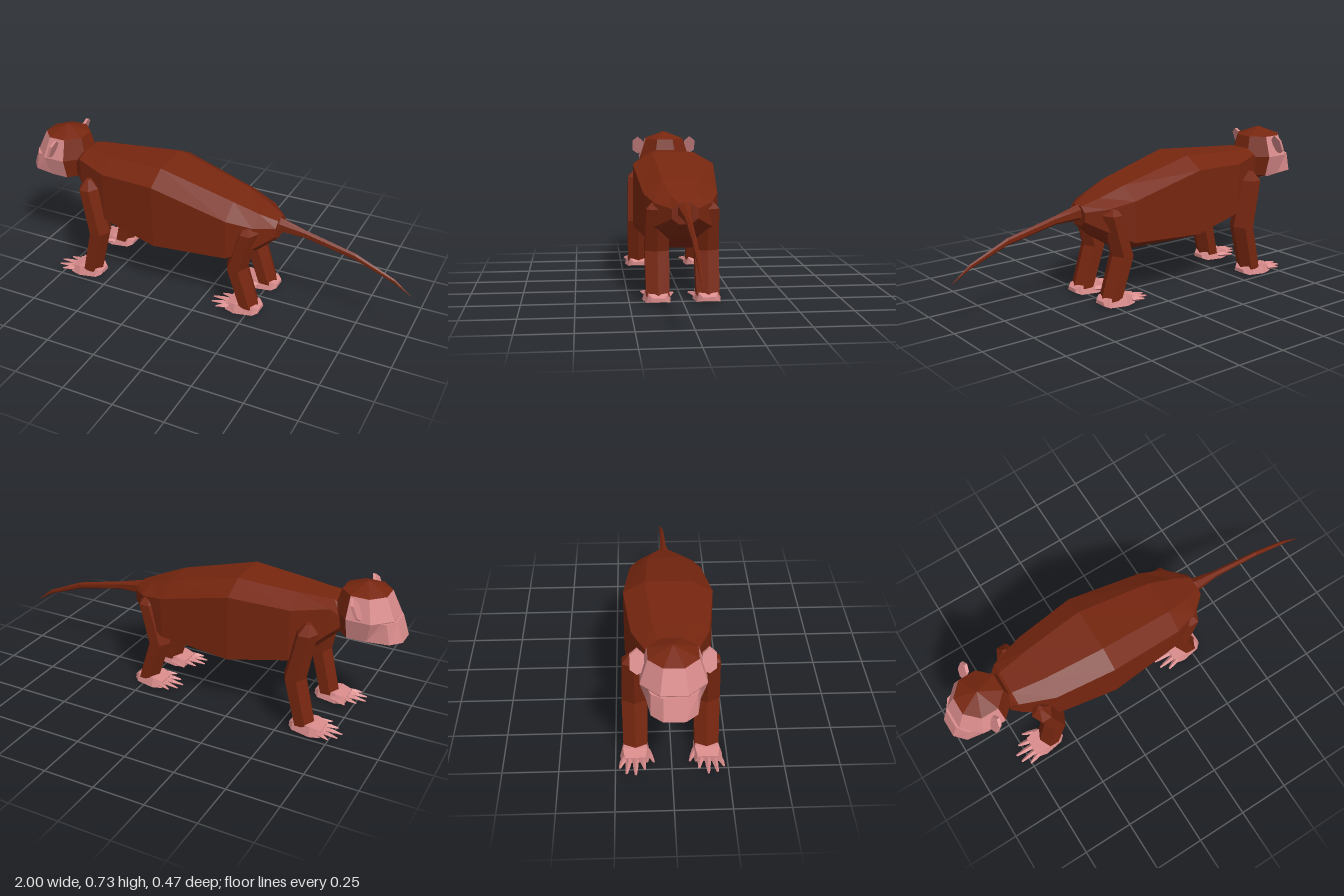
import * as THREE from 'three';

const brown = new THREE.MeshStandardMaterial({ color: 0x76260f, flatShading: true });
brown.name = 'russet fur';
const pink = new THREE.MeshStandardMaterial({ color: 0xd88a8a, flatShading: true });
pink.name = 'pink skin';

// Skin a row of equal-sized closed rings, cap both ends and face everything outward.
// keep(row, side) selects which side strips to include.
function loft(rings, keep = () => true) {
  const V = rings.map(r => r.map(p => new THREE.Vector3(...p)));
  const n = V[0].length, tris = [];
  const add = (k, a, b, c) => tris.push([k, a, b, c]);
  for (let i = 0; i < V.length - 1; i++) {
    for (let j = 0; j < n; j++) {
      const k = (j + 1) % n, use = keep(i, j);
      add(use, V[i][j], V[i][k], V[i + 1][k]);
      add(use, V[i][j], V[i + 1][k], V[i + 1][j]);
    }
  }
  const first = V[0], last = V[V.length - 1];
  for (let j = 1; j < n - 1; j++) {
    add(true, first[0], first[j + 1], first[j]);
    add(true, last[0], last[j], last[j + 1]);
  }
  let volume = 0;
  const t = new THREE.Vector3();
  for (const [, a, b, c] of tris) volume += a.dot(t.crossVectors(b, c));
  const pos = [];
  for (const [use, a, b, c] of tris) {
    if (!use || new THREE.Triangle(a, b, c).getArea() < 1e-9) continue;
    for (const p of volume > 0 ? [a, b, c] : [a, c, b]) pos.push(p.x, p.y, p.z);
  }
  const g = new THREE.BufferGeometry();
  g.setAttribute('position', new THREE.Float32BufferAttribute(pos, 3));
  g.computeVertexNormals();
  return g;
}

function part(parent, name, geometry, material) {
  const m = new THREE.Mesh(geometry, material);
  m.name = name;
  parent.add(m);
  return m;
}

// Horizontal polygon ring
function ringY(n, x, y, z, rx, rz, phase = 0) {
  return Array.from({ length: n }, (_, i) => {
    const a = phase + i / n * Math.PI * 2;
    return [x + Math.cos(a) * rx, y, z + Math.sin(a) * rz];
  });
}

// Vertical polygon ring across the body
function ringX(n, x, y, z, ry, rz) {
  return Array.from({ length: n }, (_, i) => {
    const a = i / n * Math.PI * 2;
    return [x, y + Math.cos(a) * ry, z + Math.sin(a) * rz];
  });
}

function addHead(root) {
  const head = new THREE.Group();
  head.name = 'head';
  root.add(head);
  const ph = Math.PI / 8;
  const cap = ringY(8, -0.81, 0.686, 0, 0.11, 0.112, ph);
  const mid = ringY(8, -0.82, 0.585, 0, 0.148, 0.148, ph);
  const jaw = ringY(8, -0.81, 0.485, 0, 0.118, 0.12, ph);
  const chin = ringY(8, -0.81, 0.445, 0, 0, 0);
  const skull = [ringY(8, -0.81, 0.727, 0, 0, 0), cap, mid, jaw, chin];
  // sides 1 to 5 below the cap are bare face, the rest is fur
  const isFace = (i, j) => i > 0 && j >= 1 && j <= 5;
  part(head, 'furCap', loft(skull, (i, j) => !isFace(i, j)), brown);
  part(head, 'face', loft(skull, isFace), pink);

  const muzzleRing = (y, pts) => [
    ...pts.map(([x, z]) => [x, y, z]),
    ...pts.slice().reverse().map(([x, z]) => [x, y, -z])];
  part(head, 'muzzle', loft([
    muzzleRing(0.58, [[-0.85, 0.12], [-0.935, 0.095], [-0.968, 0.045]]),
    muzzleRing(0.487, [[-0.85, 0.112], [-0.955, 0.095], [-1.0, 0.045]]),
    muzzleRing(0.462, [[-0.83, 0.06], [-0.89, 0.04], [-0.92, 0.02]])
  ]), pink);

  // Ears: thin hexagons, leaning back
  for (const s of [1, -1]) {
    const outline = [[0.697, 0.146], [0.674, 0.175], [0.62, 0.175], [0.6, 0.146], [0.615, 0.117], [0.672, 0.117]];
    const side = d => outline.map(([y, z]) => [-0.81 + (y - 0.65) * 0.42 + d, y, z * s]);
    part(head, s > 0 ? 'leftEar' : 'rightEar', loft([side(-0.007), side(0.007)]), pink);
  }
}

function addBody(root) {
  // x, top y, top z, upper side y, lower side y, side z, bottom y, bottom z
  const sections = [
    [-0.72, 0.6, 0.045, 0.57, 0.51, 0.085, 0.48, 0.04],
    [-0.68, 0.63, 0.055, 0.605, 0.48, 0.112, 0.445, 0.05],
    [-0.52, 0.637, 0.08, 0.585, 0.335, 0.17, 0.295, 0.06],
    [-0.23, 0.655, 0.105, 0.598, 0.28, 0.204, 0.225, 0.062],
    [0.14, 0.555, 0.085, 0.495, 0.295, 0.175, 0.235, 0.058],
    [0.26, 0.508, 0.06, 0.468, 0.355, 0.135, 0.31, 0.05],
    [0.345, 0.475, 0.03, 0.45, 0.405, 0.06, 0.38, 0.028]
  ];
  part(root, 'body', loft(sections.map(([x, yt, zt, yu, yl, zs, yb, zb]) => [
    [x, yt, zt], [x, yu, zs], [x, yl, zs], [x, yb, zb],
    [x, yb, -zb], [x, yl, -zs], [x, yu, -zs], [x, yt, -zt]
  ])), brown);

  // Tail: x, centre y, half height, half width
  const tail = [
    [0.3, 0.44, 0.045, 0.06], [0.35, 0.44, 0.037, 0.034], [0.47, 0.422, 0.021, 0.016],
    [0.72, 0.366, 0.017, 0.011], [0.91, 0.287, 0.011, 0.007], [1.0, 0.225, 0.001, 0.001]
  ];
  part(root, 'tail', loft(tail.map(([x, y, h, w]) => ringX(6, x, y, 0, h, w))), brown);
}

// Hip or shoulder, knee and ankle centres, each as [x, y]; s mirrors to either side
function addLeg(root, name, joints, z, s) {
  const leg = new THREE.Group();
  leg.name = name;
  root.add(leg);
  const [top, hip, knee, ankle] = joints;
  const hex = ([x, y], r) => ringY(6, x, y, z * s, 0.055 * r, 0.066 * r);
  part(leg, name + 'Limb', loft([hex(top, 0.25), hex(hip, 0.9), hex(knee, 1), hex(ankle, 0.95)]), brown);

  // Sole and heel
  const ax = ankle[0];
  const slab = (dx, y0, y1, zi, zo) => [
    [ax + dx, y0, (z - zi) * s], [ax + dx, y0, (z + zo) * s],
    [ax + dx, y1, (z + zo * 0.8) * s], [ax + dx, y1, (z - zi * 0.8) * s]];
  part(leg, name + 'Foot', loft([
    slab(0.062, 0.012, 0.03, 0.035, 0.035), slab(0.04, 0.004, 0.045, 0.055, 0.055),
    slab(-0.05, 0, 0.046, 0.066, 0.07), slab(-0.1, 0.004, 0.034, 0.055, 0.06)
  ]), pink);

  // Toes: start offset z, tip offset x and z
  const toes = [[-0.05, -0.11, -0.08], [-0.028, -0.155, -0.04], [0, -0.188, 0.0], [0.027, -0.18, 0.04], [0.05, -0.145, 0.07]];
  toes.forEach(([z0, dx, z1], i) => {
    const x0 = i === 0 ? -0.03 : -0.085;
    part(leg, name + 'Toe', loft([
      ringX(4, ax + x0, 0.02, (z + z0) * s, 0.014, 0.015),
      ringX(4, ax + (x0 + dx) / 2, 0.02, (z + (z0 + z1) / 2) * s, 0.011, 0.012),
      ringX(4, ax + dx, 0.016, (z + z1) * s, 0.004, 0.005)
    ]), pink);
  });
}

export function createModel() {
  const root = new THREE.Group();
  root.name = 'monkey';
  addHead(root);
  addBody(root);
  for (const s of [1, -1]) {
    const side = s > 0 ? 'left' : 'right';
    addLeg(root, side + 'FrontLeg', [[-0.605, 0.538], [-0.603, 0.495], [-0.555, 0.26], [-0.61, 0.03]], 0.16, s);
    addLeg(root, side + 'HindLeg', [[0.235, 0.478], [0.235, 0.437], [0.178, 0.235], [0.243, 0.03]], 0.117, s);
  }
  return root;
}
